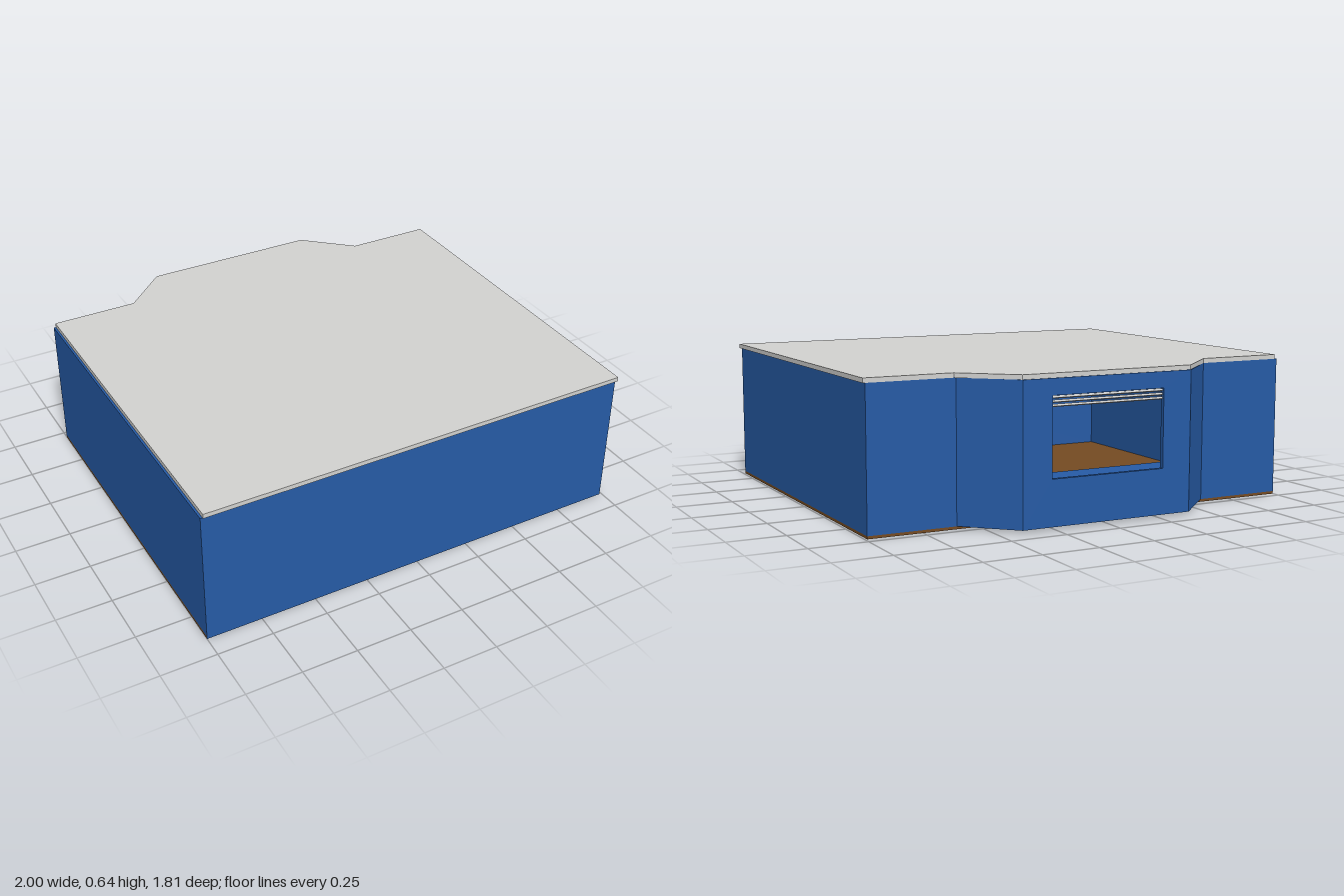
import * as THREE from 'three';

const material = (name, color) => {
  const m = new THREE.MeshStandardMaterial({ color });
  m.name = name;
  return m;
};

// Extrudes a floor-plan outline of [x, z] points from height y0 to y1.
function plan(name, points, y0, y1, mat) {
  const shape = new THREE.Shape(points.map(([x, z]) => new THREE.Vector2(x, -z)));
  const geo = new THREE.ExtrudeGeometry(shape, { depth: y1 - y0, bevelEnabled: false });
  geo.rotateX(-Math.PI / 2).translate(0, y0, 0);
  const mesh = new THREE.Mesh(geo, mat);
  mesh.name = name;
  return mesh;
}

export function createModel() {
  const blue = material('wall blue', 0x265ba6);
  const grey = material('roof grey', 0xd2d2d0);
  const brown = material('floor brown', 0x754b22);
  const room = new THREE.Group();
  room.name = 'room';

  const L = -1, R = 0.99, F = 0.9, B = -0.71, bay = -0.905, t = 0.015, top = 0.62;

  // Floor of the main room; the bay stays open underneath
  room.add(plan('floor', [[L, F - 0.003], [R, F - 0.003], [R, B], [L, B]], 0, 0.012, brown));

  // Flat roof following the bay
  room.add(plan('roof', [[-0.99, 0.905], [1, 0.905], [1, B], [0.61, B], [0.4, -0.9],
    [-0.4, -0.9], [-0.6, B], [-0.99, B]], top, 0.64, grey));

  // Front, side and back walls, open towards the bay
  room.add(plan('mainWalls', [[-0.6, B], [L, B], [L, F], [R, F], [R, B], [0.6, B],
    [0.6, B + t], [R - t, B + t], [R - t, F - t], [L + t, F - t], [L + t, B + t], [-0.6, B + t]],
  0.012, top, blue));
  room.add(plan('frontSkirting', [[L, F - 0.003], [R, F - 0.003], [R, F], [L, F]], 0, 0.012, blue));

  // Slanted bay walls
  for (const s of [-1, 1]) {
    room.add(plan(s > 0 ? 'bayWallLeft' : 'bayWallRight',
      [[s * 0.6, B], [s * 0.4, bay], [s * 0.38, bay + 0.02], [s * 0.58, B + t], [s * 0.6, B + t]],
      0.012, top, blue));
  }

  // Bay back wall with window opening
  const wall = new THREE.Shape([[-0.4, 0.012], [0.4, 0.012], [0.4, top], [-0.4, top]]
    .map(p => new THREE.Vector2(...p)));
  wall.holes.push(new THREE.Path([[-0.265, 0.21], [-0.265, 0.55], [0.265, 0.55], [0.265, 0.21]]
    .map(p => new THREE.Vector2(...p))));
  const wallGeo = new THREE.ExtrudeGeometry(wall, { depth: 0.02, bevelEnabled: false });
  wallGeo.translate(0, 0, bay);
  const bayWall = new THREE.Mesh(wallGeo, blue);
  bayWall.name = 'bayWindowWall';
  room.add(bayWall);

  // Deep window ledge inside the bay
  room.add(plan('windowLedge', [[-0.39, bay + 0.015], [0.39, bay + 0.015], [0.54, -0.745], [-0.54, -0.745]],
    0.185, 0.205, blue));

  // Raised blind at the top of the window
  for (let i = 0; i < 3; i++) {
    const slat = new THREE.Mesh(new THREE.BoxGeometry(0.526, 0.009, 0.02), grey);
    slat.name = 'blindSlat';
    slat.position.set(0, 0.541 - i * 0.017, bay + 0.016);
    slat.rotation.x = 0.3;
    room.add(slat);
  }
  return room;
}
